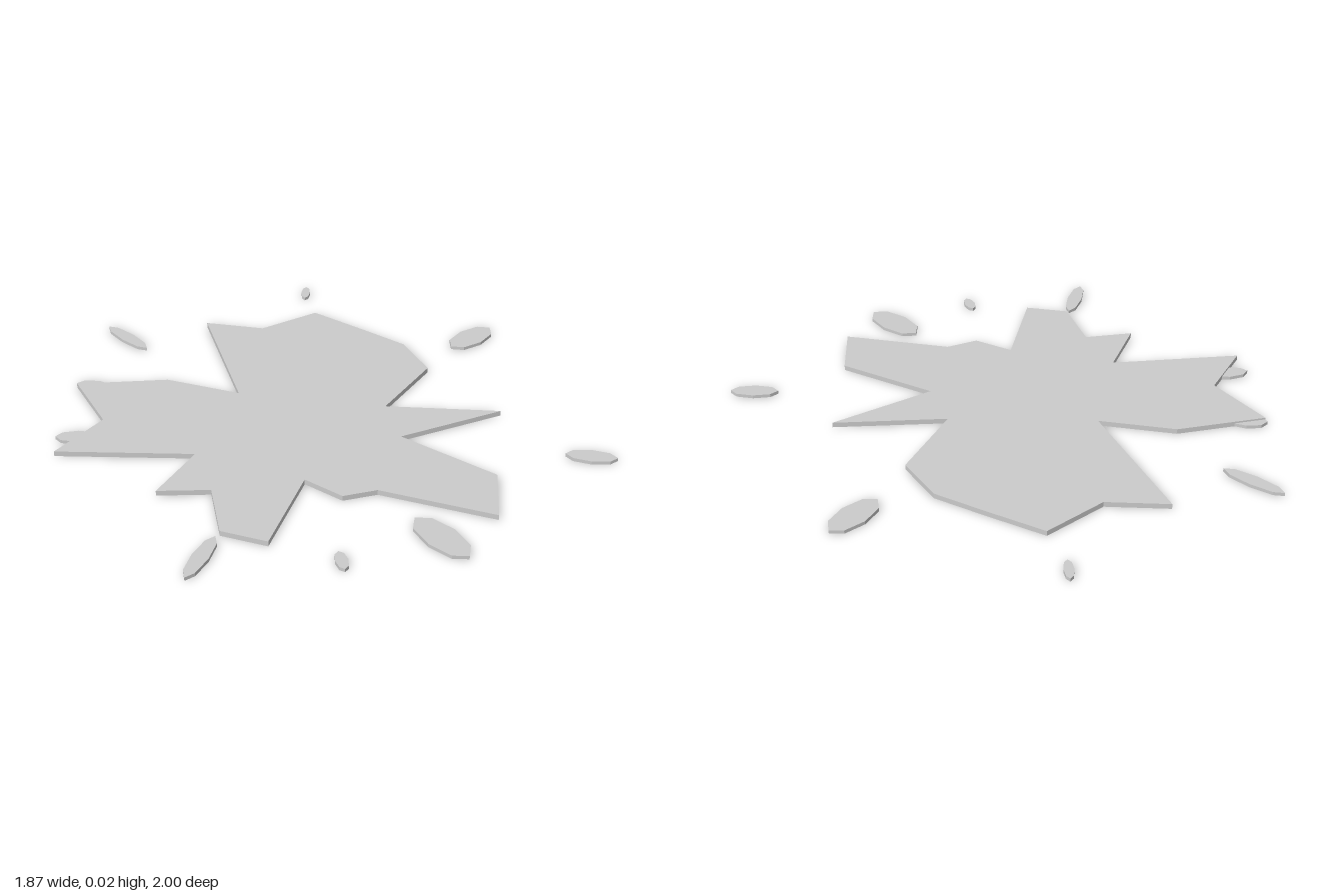
import * as THREE from 'three';

const material = new THREE.MeshStandardMaterial({ color: 0xcccccc, flatShading: true });

// Jagged outline of the main splash, as [x, z]
const OUTLINE = [
  [0.05, -0.76], [0.2, -0.58], [0.45, -0.545], [0.51, -0.32], [0.56, -0.12], [0.51, 0.075],
  [0.2, 0.175], [0.51, 0.47], [0.11, 0.36], [0.21, 0.745], [0.05, 0.91], [-0.17, 0.55],
  [-0.285, 0.5], [-0.325, 0.345], [-0.63, 0.535], [-0.72, 0.39], [-0.61, 0.19], [-0.76, 0.075],
  [-0.53, -0.02], [-0.91, -0.35], [-0.665, -0.415], [-0.61, -0.69], [-0.325, -0.495], [-0.17, -0.245],
];

// Droplets: centre x, centre z, half length, half width, direction x, direction z
const DROPLETS = [
  [-0.26, -0.88, 0.122, 0.028, 0.1, 1],
  [0.54, -0.72, 0.048, 0.018, 0.7, -0.75],
  [0.82, 0, 0.114, 0.056, 1, -0.04],
  [0.56, 0.87, 0.092, 0.036, 0.66, 0.75],
  [-0.17, 0.865, 0.13, 0.06, 0, 1],
  [-0.5, 0.75, 0.046, 0.022, 0.45, -0.9],
  [-0.84, 0.45, 0.113, 0.03, 0.88, -0.48],
  [-0.79, -0.39, 0.08, 0.035, 0.75, 0.6],
  [-0.56, -0.64, 0.078, 0.04, 0.55, 0.8],
];

// Flat plate lying on the ground, cut to the outline
function createSplash(height) {
  const shape = new THREE.Shape(OUTLINE.map(([x, z]) => new THREE.Vector2(x, z)));
  const geometry = new THREE.ExtrudeGeometry(shape, { depth: height, bevelEnabled: false });
  geometry.rotateX(Math.PI / 2).translate(0, height, 0);
  const mesh = new THREE.Mesh(geometry, material);
  mesh.name = 'splash';
  return mesh;
}

// Stretched eight-sided disc
function createDroplet([x, z, length, width, dx, dz], height) {
  const geometry = new THREE.CylinderGeometry(1, 1, height, 8);
  geometry.scale(length, 1, width);
  geometry.rotateY(-Math.atan2(dz, dx));
  geometry.translate(x, height / 2, z);
  return new THREE.Mesh(geometry, material);
}

export function createModel() {
  const model = new THREE.Group();
  model.name = 'splatter';
  model.add(createSplash(0.02));
  DROPLETS.forEach((spec, i) => {
    const droplet = createDroplet(spec, 0.013);
    droplet.name = `droplet${i + 1}`;
    model.add(droplet);
  });
  return model;
}
